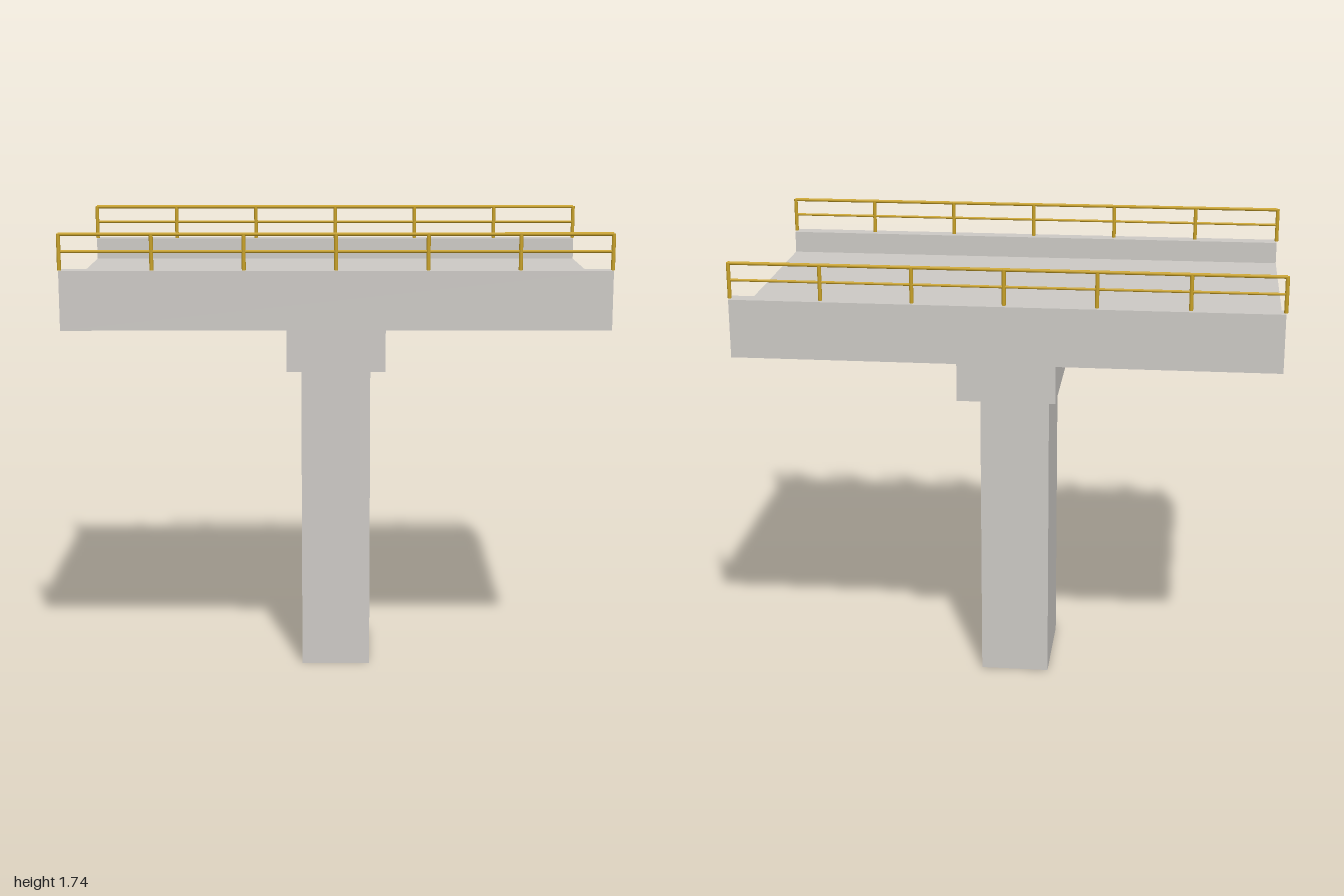
import * as THREE from 'three';

export function createModel() {
  const model = new THREE.Group();
  model.name = 'bridgeSection';

  const concrete = new THREE.MeshStandardMaterial({ color: 0xccc9c5 });
  concrete.name = 'concrete';
  const railing = new THREE.MeshStandardMaterial({ color: 0xc9a227 });
  railing.name = 'railing yellow';

  const length = 1.985;
  const capBottom = 1.226, deckBottom = 1.392, road = 1.523, curbTop = 1.607;

  function add(name, parent, geometry, material, x, y, z) {
    const mesh = new THREE.Mesh(geometry, material);
    mesh.position.set(x, y, z);
    mesh.name = name;
    parent.add(mesh);
    return mesh;
  }

  // Pier
  add('pierColumn', model, new THREE.BoxGeometry(0.264, capBottom, 0.397), concrete, 0, capBottom / 2, 0);
  add('pierCap', model, new THREE.BoxGeometry(0.362, deckBottom - capBottom, 0.994), concrete,
    0, (capBottom + deckBottom) / 2, 0);

  // Deck with upstanding curbs, one cross-section extruded along x
  const outer = 0.58, inner = 0.521;
  const section = new THREE.Shape([
    [-outer, deckBottom], [outer, deckBottom], [outer, curbTop], [inner, curbTop],
    [inner, road], [-inner, road], [-inner, curbTop], [-outer, curbTop],
  ].map(([z, y]) => new THREE.Vector2(z, y)));
  const deckGeometry = new THREE.ExtrudeGeometry(section, { depth: length, bevelEnabled: false });
  deckGeometry.translate(0, 0, -length / 2).rotateY(Math.PI / 2);
  add('deck', model, deckGeometry, concrete, 0, 0, 0);

  // Guard rails of thin tubing on both curbs
  const postHeight = 0.131;
  const post = new THREE.CylinderGeometry(0.0073, 0.0073, postHeight, 8);
  const topBar = new THREE.CylinderGeometry(0.0065, 0.0065, length, 8).rotateZ(Math.PI / 2);
  const middleBar = new THREE.CylinderGeometry(0.005, 0.005, length, 8).rotateZ(Math.PI / 2);
  for (const side of [1, -1]) {
    const rail = new THREE.Group();
    rail.name = side > 0 ? 'frontRailing' : 'backRailing';
    const z = side * 0.555;
    for (let i = 0; i <= 6; i++) {
      add('post', rail, post, railing, (i / 6 - 0.5) * length, curbTop + postHeight / 2, z);
    }
    add('topRail', rail, topBar, railing, 0, 1.736, z);
    add('middleRail', rail, middleBar, railing, 0, 1.674, z);
    model.add(rail);
  }

  return model;
}
